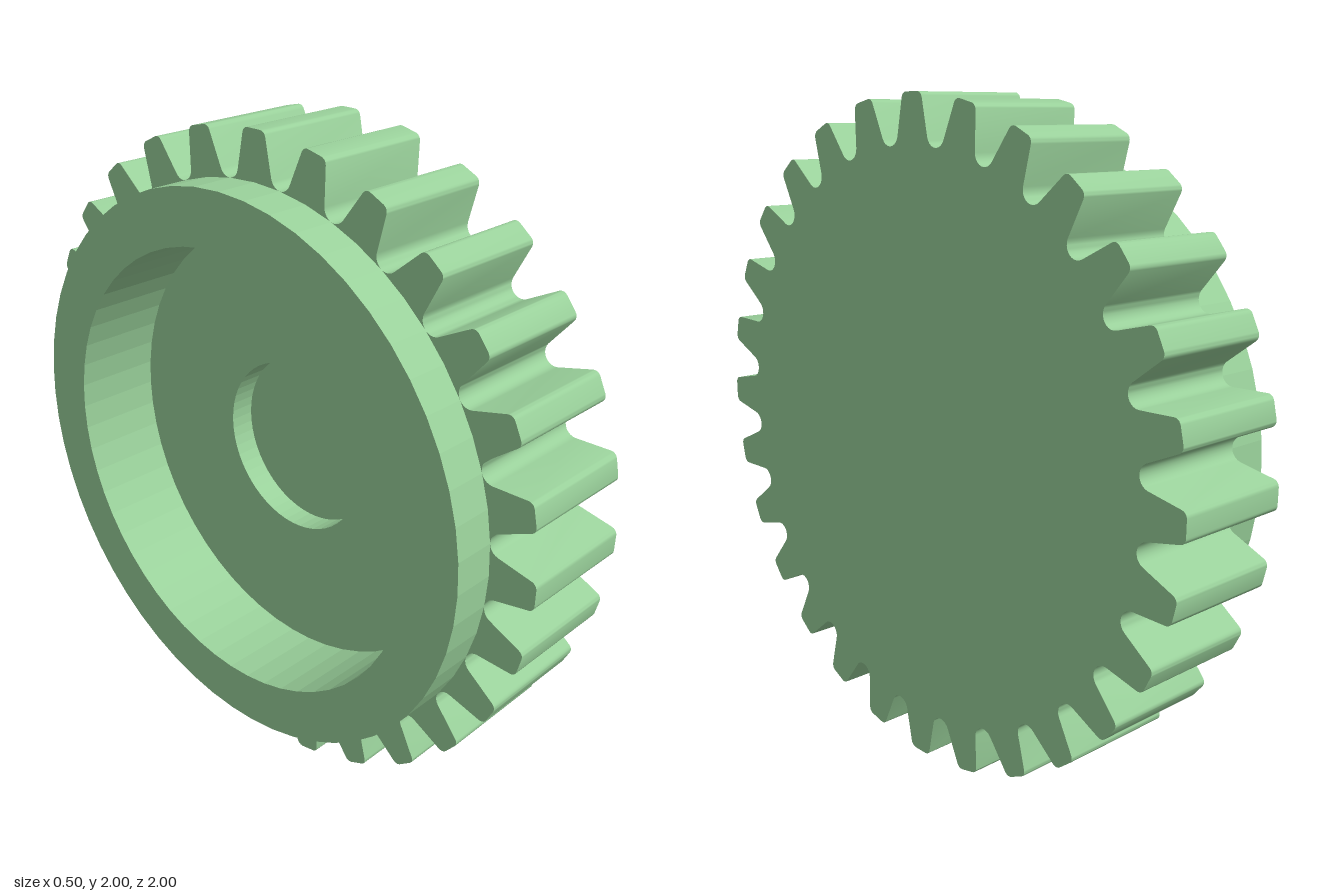
import * as THREE from 'three';
import { toCreasedNormals } from 'three/addons/utils/BufferGeometryUtils.js';

const TEETH = 28;
const SEGMENTS = 56;
const BACK = -0.12;   // back of the toothed band
const FRONT = 0.25;   // plain outer face
const CORE = 0.78;    // hidden joint between toothed band and core

// Outline of all teeth with rounded tips and round-bottomed gaps
function gearOutline() {
  const pts = [];
  const pitch = (Math.PI * 2) / TEETH;
  // place a point given sideways offset t and height r along a spoke
  const add = (spoke, t, r) => pts.push(new THREE.Vector2(
    r * Math.cos(spoke) - t * Math.sin(spoke),
    r * Math.sin(spoke) + t * Math.cos(spoke)));
  const tipR = 0.02, tipT = 0.024, gapR = 0.036, gapC = 0.893, steps = 5;
  for (let i = 0; i < TEETH; i++) {
    const a = i * pitch;
    // tip: both corners
    for (const side of [-1, 1]) {
      for (let k = 0; k <= steps; k++) {
        const f = side < 0 ? k / steps : 1 - k / steps;
        const ang = THREE.MathUtils.degToRad(14 + 76 * f);
        add(a, side * (tipT + tipR * Math.cos(ang)), 1 - tipR + tipR * Math.sin(ang));
      }
    }
    // gap: rounded bottom
    for (let k = 0; k <= 10; k++) {
      const ang = THREE.MathUtils.degToRad(-70 + 14 * k);
      add(a + pitch / 2, gapR * Math.sin(ang), gapC - gapR * Math.cos(ang));
    }
  }
  return pts;
}

export function createModel() {
  const group = new THREE.Group();
  group.name = 'gear';
  const color = 0x99d09a;

  // Toothed band, open in the middle
  const shape = new THREE.Shape(gearOutline());
  const bore = [];
  for (let i = 0; i < SEGMENTS; i++) {
    const a = (i / SEGMENTS) * Math.PI * 2;
    bore.push(new THREE.Vector2(CORE * Math.cos(a), CORE * Math.sin(a)));
  }
  shape.holes.push(new THREE.Path(bore));
  const band = new THREE.ExtrudeGeometry(shape, { depth: FRONT - BACK, bevelEnabled: false });
  band.translate(0, 0, BACK);
  band.rotateY(Math.PI / 2);
  const teeth = new THREE.Mesh(toCreasedNormals(band, 0.55), new THREE.MeshStandardMaterial({ color }));
  teeth.name = 'toothedBand';
  group.add(teeth);

  // Core: stepped recess, raised back rim and plain front disc
  const profile = [
    [0, 0.11], [0.272, 0.11], [0.272, 0.03], [0.69, 0.03], [0.69, -0.25],
    [0.857, -0.25], [0.857, BACK], [CORE, BACK], [CORE, FRONT], [0, FRONT],
  ].map(([r, x]) => new THREE.Vector2(r, x));
  const coreGeo = new THREE.LatheGeometry(profile, SEGMENTS);
  coreGeo.rotateZ(-Math.PI / 2);
  const core = new THREE.Mesh(coreGeo, new THREE.MeshStandardMaterial({ color, flatShading: true }));
  core.name = 'recessedCoreAndRim';
  group.add(core);

  // Stand the wheel on the floor
  teeth.position.y = core.position.y = 1;
  return group;
}
